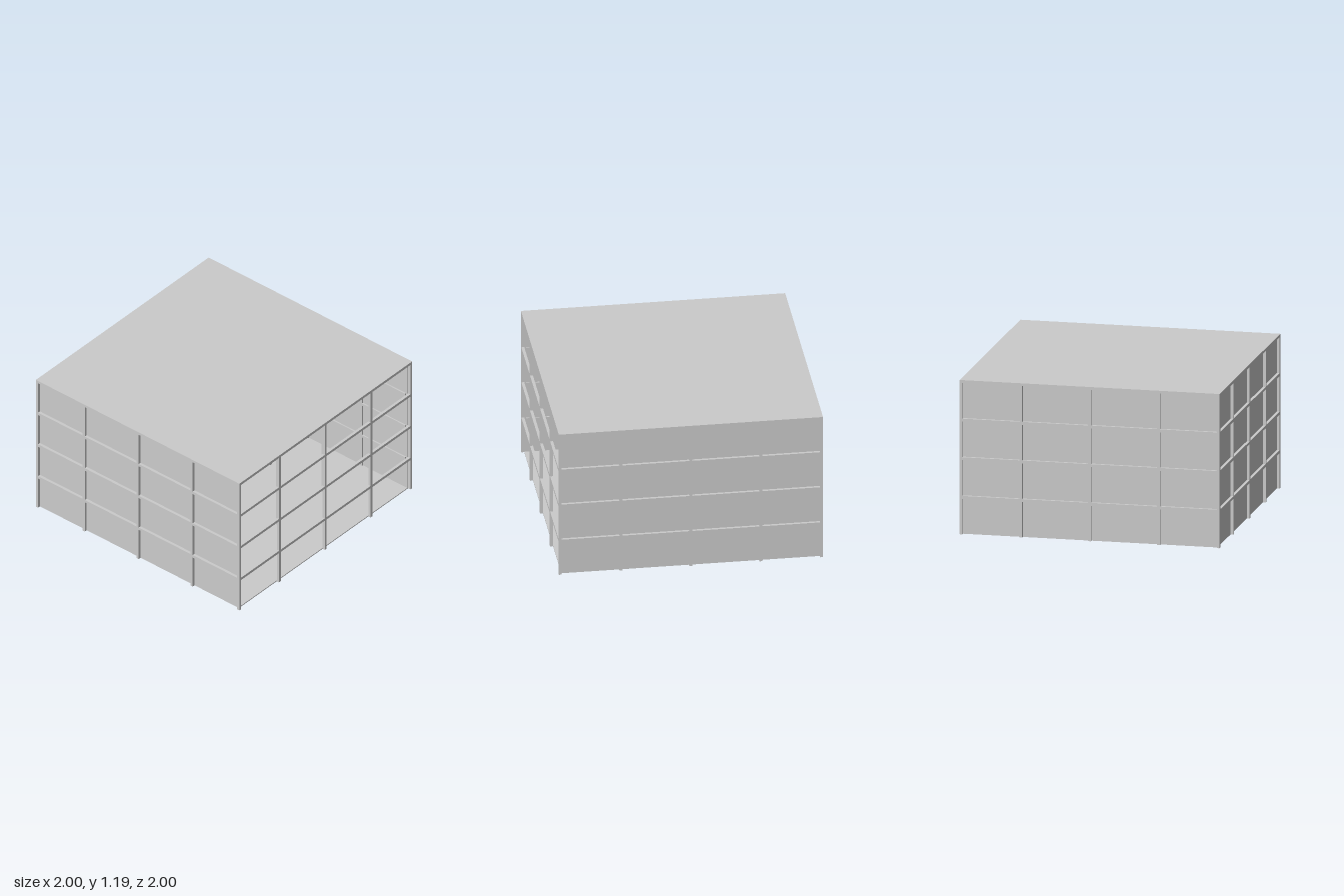
import * as THREE from 'three';

export function createModel() {
  const model = new THREE.Group();
  const material = new THREE.MeshStandardMaterial({ color: 0xcccccc, flatShading: true });

  const H = 1.188;          // overall height
  const T = 0.022;          // column and beam thickness
  const E = 1 - T / 2;      // centre line of the outer frame
  const W = 1 - T;          // outer plane of the walls
  const grid = [-E, -0.53, 0, 0.53, E];
  const levels = [0.285, 0.583, 0.88, H - T / 2];

  function box(name, w, h, d, x, y, z, parent = model) {
    const mesh = new THREE.Mesh(new THREE.BoxGeometry(w, h, d), material);
    mesh.name = name;
    mesh.position.set(x, y, z);
    parent.add(mesh);
    return mesh;
  }

  // Ground slab and roof slab, set just inside the frame
  box('floorSlab', 2 * W, 0.008, 2 * W, 0, 0.004, 0);
  box('roofSlab', 2 * W, 0.048, 2 * W, 0, H - 0.024, 0);

  // Closed walls on the back and both sides; the front stays open
  const wallT = 0.008;
  box('backWall', 2 * W, H - 0.04, wallT, 0, (H - 0.04) / 2, -W + wallT / 2);
  for (const s of [-1, 1]) {
    box(s > 0 ? 'leftWall' : 'rightWall', wallT, H - 0.04, 2 * W,
      s * (W - wallT / 2), (H - 0.04) / 2, 0);
  }

  // Columns at every crossing of the plan grid
  const columns = new THREE.Group();
  columns.name = 'columns';
  model.add(columns);
  for (const x of grid) {
    for (const z of grid) box('column', T, H - 0.002, T, x, H / 2 - 0.001, z, columns);
  }

  // Ring of perimeter beams at each storey
  const beams = new THREE.Group();
  beams.name = 'perimeterBeams';
  model.add(beams);
  for (const y of levels) {
    for (const s of [-1, 1]) {
      box('crossBeam', 2, T, T, 0, y, s * E, beams);
      box('sideBeam', T, T, 2 - 2 * T, s * E, y, 0, beams);
    }
  }

  // Inner ribs of the frame showing on the inside of the closed walls
  const ribs = new THREE.Group();
  ribs.name = 'wallRibs';
  model.add(ribs);
  const R = W - wallT - 0.005;
  for (const g of grid.slice(1, 4)) {
    box('backRib', T, H - 0.05, 0.012, g, H / 2 - 0.025, -R, ribs);
    for (const s of [-1, 1]) box('sideRib', 0.012, H - 0.05, T, s * R, H / 2 - 0.025, g, ribs);
  }
  for (const y of levels.slice(0, 3)) {
    box('backRail', 2 * R, T, 0.012, 0, y, -R, ribs);
    for (const s of [-1, 1]) box('sideRail', 0.012, T, 2 * R, s * R, y, 0, ribs);
  }

  return model;
}
